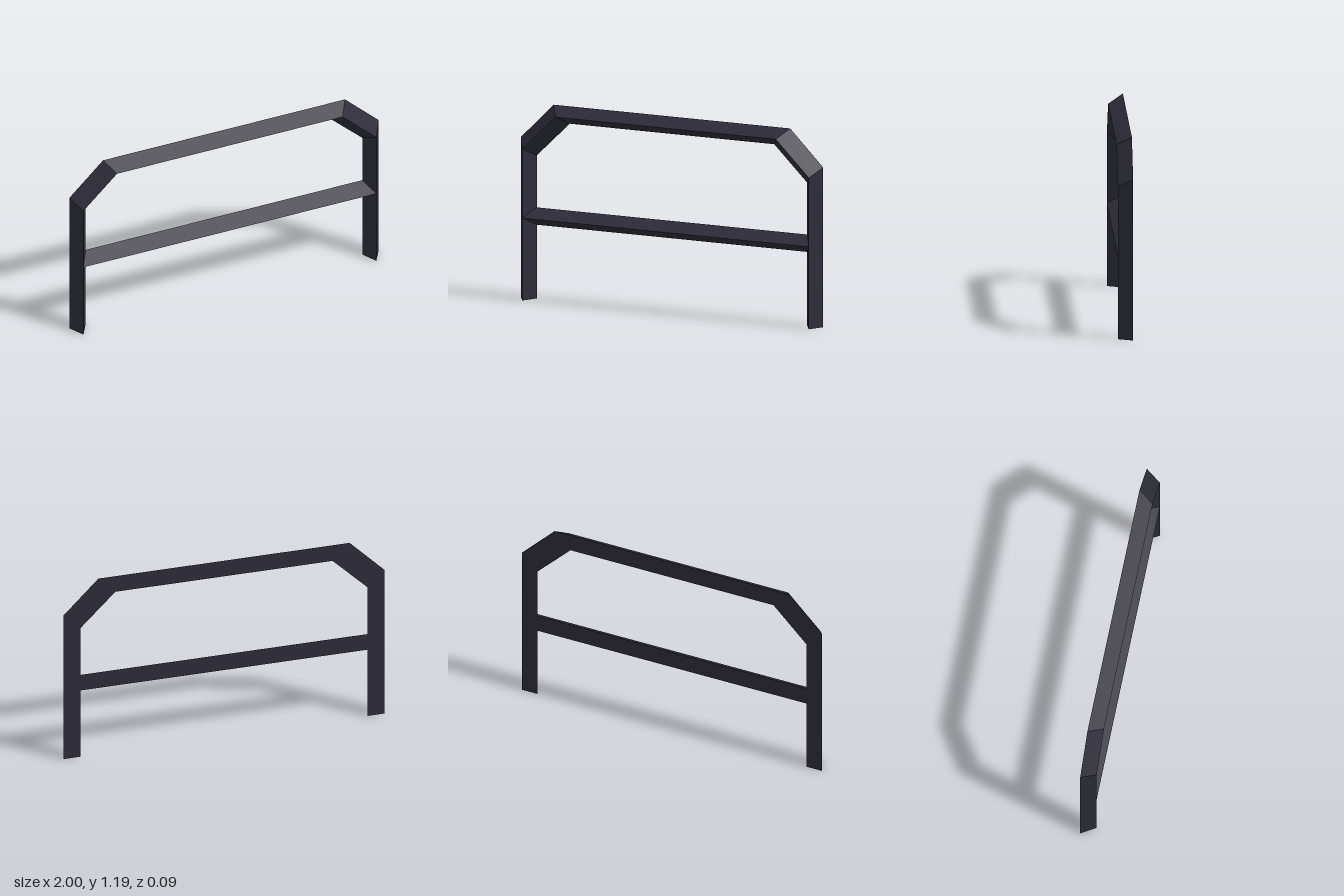
import * as THREE from 'three';

const BACK = -0.045, FRONT = 0.045;

// Triangular section: wide flat back from outer to inner edge, ridge at the front
const section = (outer, ridge, inner) => [
  [...outer, BACK], [...ridge, FRONT], [...inner, BACK],
];

// Straight bar between two triangular sections, with optional end caps
function bar(a, b, capStart = false, capEnd = false) {
  const points = [];
  for (let j = 0; j < 3; j++) {
    const k = (j + 1) % 3;
    points.push(a[j], a[k], b[k], a[j], b[k], b[j]);
  }
  if (capStart) points.push(a[0], a[2], a[1]);
  if (capEnd) points.push(b[0], b[1], b[2]);
  const geometry = new THREE.BufferGeometry();
  geometry.setAttribute('position', new THREE.Float32BufferAttribute(points.flat(), 3));
  geometry.computeVertexNormals();
  return geometry;
}

export function createModel() {
  const model = new THREE.Group();
  model.name = 'barrierFrame';
  const metal = new THREE.MeshStandardMaterial({ color: 0x2d2c39 });
  metal.name = 'darkMetal';

  const add = (name, geometry) => {
    const mesh = new THREE.Mesh(geometry, metal);
    mesh.name = name;
    model.add(mesh);
  };

  // Mitred sections along the right half of the frame, then mirrored
  const half = [
    section([-1, 0], [-0.947, 0], [-0.894, 0]),
    section([-1, 0.975], [-0.947, 0.924], [-0.894, 0.873]),
    section([-0.782, 1.193], [-0.729, 1.14], [-0.676, 1.087]),
  ];
  const mirrored = half.map((s) => s.map(([x, y, z]) => [-x, y, z])).reverse();
  const path = [...half, ...mirrored];

  // Legs, sloped corners and top rail
  const names = ['rightLeg', 'rightCorner', 'topRail', 'leftCorner', 'leftLeg'];
  names.forEach((name, i) => add(name, bar(path[i], path[i + 1], i === 0, i === 4)));

  // Middle rail, mitred against the legs
  const railEnd = (s) => section([s * 0.894, 0.556], [s * 0.947, 0.503], [s * 0.894, 0.45]);
  add('middleRail', bar(railEnd(-1), railEnd(1)));

  return model;
}
